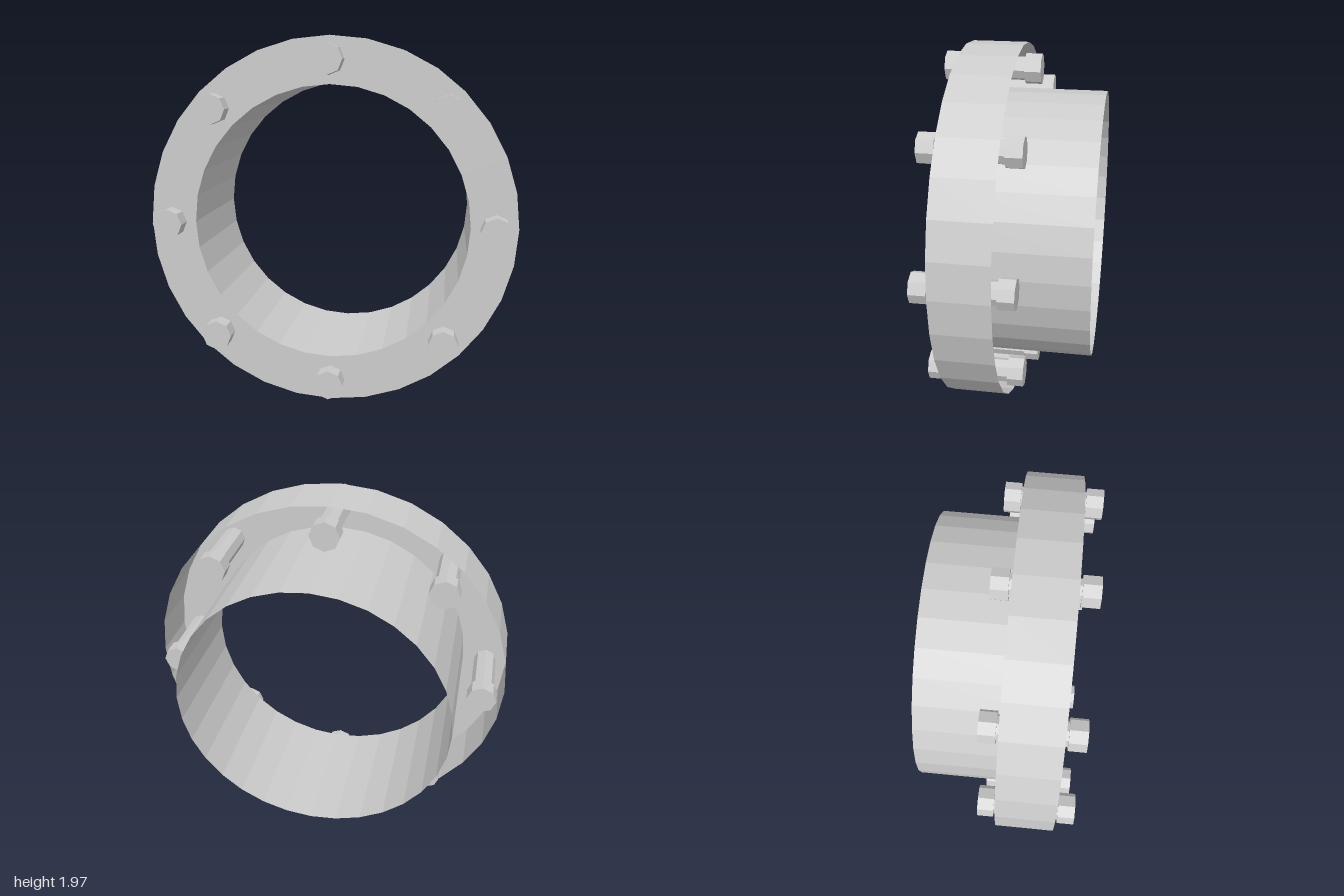
import * as THREE from 'three';

const OUTER = 0.987, INNER = 0.74, DEPTH = 0.305, PIPE_END = -0.44;
const BOLT_CIRCLE = 0.867, SIDES = 32;

export function createModel() {
  const model = new THREE.Group();
  model.name = 'boltedPipeFlange';
  const sheet = new THREE.MeshStandardMaterial({ color: 0xcccccc, flatShading: true, side: THREE.DoubleSide });
  const solid = new THREE.MeshStandardMaterial({ color: 0xcccccc, flatShading: true });

  const add = (name, geometry, material, parent) => {
    const mesh = new THREE.Mesh(geometry, material);
    mesh.name = name;
    parent.add(mesh);
    return mesh;
  };
  // Cylinder along z between two depths
  const tube = (radius, z0, z1, sides, open) =>
    new THREE.CylinderGeometry(radius, radius, z1 - z0, sides, 1, open)
      .rotateX(Math.PI / 2).translate(0, 0, (z0 + z1) / 2);

  // Thin shell: outer rim, front face and pipe, all open at the back
  add('flangeRim', tube(OUTER, 0, DEPTH, SIDES, true), sheet, model);
  add('flangeFace', new THREE.RingGeometry(INNER, OUTER, SIDES).translate(0, 0, DEPTH), sheet, model);
  add('pipe', tube(INNER, PIPE_END, DEPTH, SIDES, true), sheet, model);

  // Eight bolts, each with a shank through the flange and a head at both ends
  const shank = tube(0.062, -0.03, DEPTH + 0.03, 8, false);
  const frontHead = tube(0.08, DEPTH + 0.015, DEPTH + 0.103, 8, false);
  const backNut = tube(0.08, -0.1, -0.015, 8, false);
  for (let i = 0; i < 8; i++) {
    const a = (i * Math.PI) / 4;
    const bolt = new THREE.Group();
    bolt.name = 'bolt' + (i + 1);
    bolt.position.set(Math.cos(a) * BOLT_CIRCLE, Math.sin(a) * BOLT_CIRCLE, 0);
    add('boltShank', shank, solid, bolt);
    add('boltHead', frontHead, solid, bolt);
    add('boltNut', backNut, solid, bolt);
    model.add(bolt);
  }

  // The axis is turned slightly toward +x
  model.rotation.y = 0.185;
  model.position.set(-0.028, 0.99, 0.002);
  return model;
}
